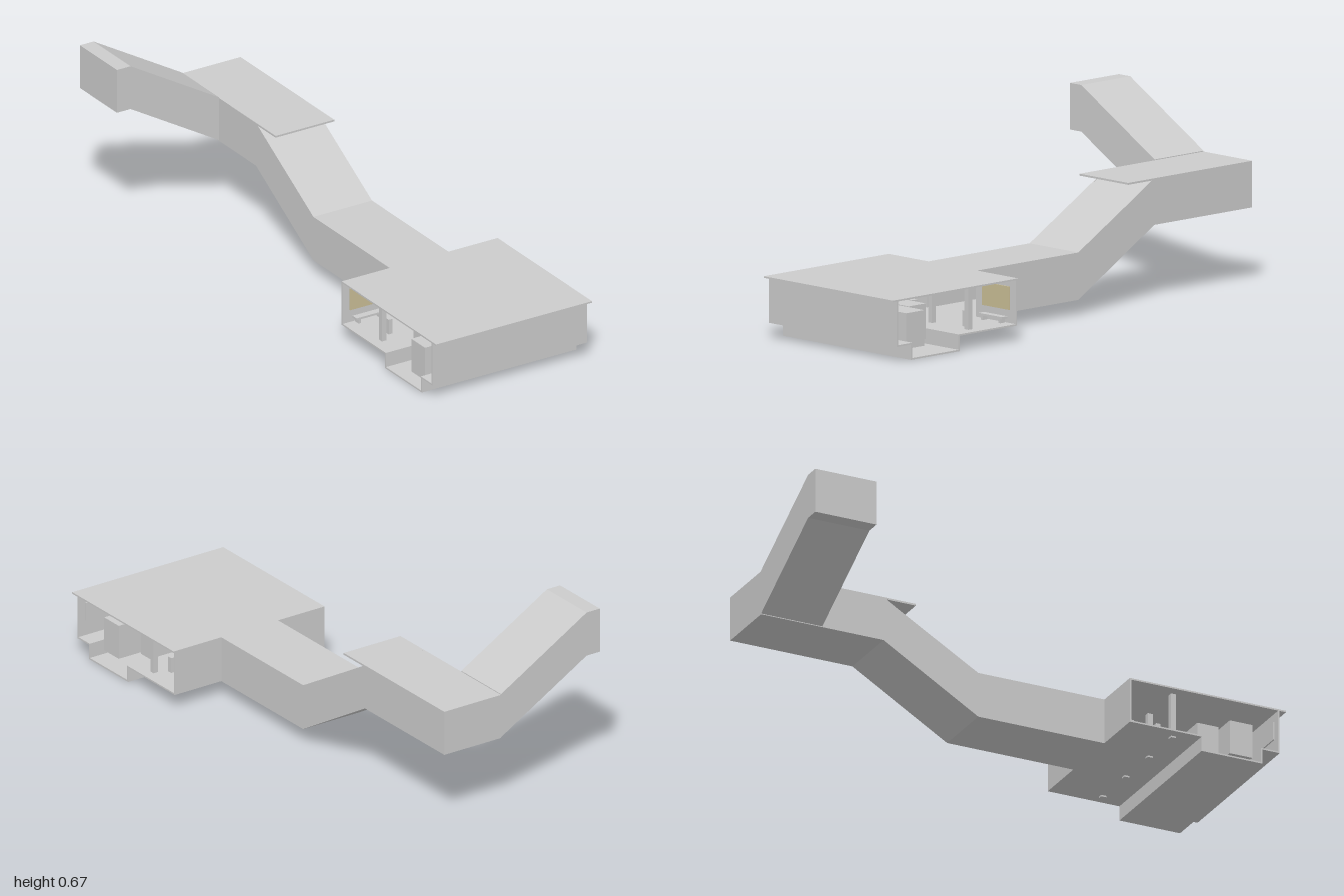
import * as THREE from 'three';

const T = 0.006; // wall and slab thickness

export function createModel() {
  const model = new THREE.Group();
  const grey = new THREE.MeshStandardMaterial({ color: 0xcccccc, flatShading: true, side: THREE.DoubleSide });
  const beige = new THREE.MeshStandardMaterial({ color: 0xc9bd95, flatShading: true });

  const add = (name, geometry, material = grey) => {
    const mesh = new THREE.Mesh(geometry, material);
    mesh.name = name;
    model.add(mesh);
    return mesh;
  };
  // Box given by its lower and upper limits
  const box = (name, [x0, x1], [y0, y1], [z0, z1], material) => {
    const g = new THREE.BoxGeometry(x1 - x0, y1 - y0, z1 - z0);
    g.translate((x0 + x1) / 2, (y0 + y1) / 2, (z0 + z1) / 2);
    return add(name, g, material);
  };
  // Outline in (z, y), extruded along x
  const alongX = (name, points, x0, x1) => {
    const shape = new THREE.Shape(points.map(([z, y]) => new THREE.Vector2(-z, y)));
    const g = new THREE.ExtrudeGeometry(shape, { depth: x1 - x0, bevelEnabled: false });
    g.rotateY(Math.PI / 2);
    g.translate(x0, 0, 0);
    return add(name, g);
  };
  // Outline in (x, y), extruded along z
  const alongZ = (name, points, z0, z1) => {
    const shape = new THREE.Shape(points.map(([x, y]) => new THREE.Vector2(x, y)));
    const g = new THREE.ExtrudeGeometry(shape, { depth: z1 - z0, bevelEnabled: false });
    g.translate(0, 0, z0);
    return add(name, g);
  };
  // Closed outline of the band between a line and the same line raised by h
  const band = (line, h) => [...line, ...line.map(([a, y]) => [a, y + h]).reverse()];

  // Station hall: stepped floor with track trench, open at both ends
  const hall = [-0.22, 0.44];
  alongX('hallFloor', [
    [0.975, 0.056], [0.905, 0.056], [0.905, 0], [0.662, 0], [0.662, 0.056], [0.375, 0.056],
    [0.375, 0.062], [0.668, 0.062], [0.668, 0.006], [0.899, 0.006], [0.899, 0.062], [0.975, 0.062],
  ], ...hall);
  box('hallRoof', [-0.22, 0.445], [0.223, 0.229], [0.375, 1]);
  box('hallFrontWall', hall, [0.056, 0.223], [0.969, 0.975]);

  // Corridor limits, and the back walls either side of its opening
  const cx0 = -0.015, cx1 = 0.235;
  box('hallBackWallRight', [hall[0], cx0], [0.056, 0.223], [0.375, 0.381]);
  box('hallBackWallLeft', [cx1, hall[1]], [0.056, 0.223], [0.375, 0.381]);

  // Pillars along the platform, footed in the floor
  for (let i = 0; i < 4; i++) {
    const x = -0.17 + i * 0.187;
    box('pillar', [x - 0.01, x + 0.01], [0.05, 0.223], [0.56, 0.58]);
  }

  // Two trains on the tracks
  box('frontTrain', [-0.19, 0.39], [0.03, 0.16], [0.79, 0.88]);
  box('backTrain', [-0.12, 0.3], [0.03, 0.16], [0.695, 0.78]);

  // Benches and wall panels at each side of the corridor opening
  for (const x of [-0.12, 0.34]) {
    box('benchSeat', [x - 0.06, x + 0.06], [0.078, 0.086], [0.385, 0.412]);
    for (const s of [-1, 1]) box('benchLeg', [x + s * 0.045 - 0.005, x + s * 0.045 + 0.005], [0.062, 0.078], [0.387, 0.41]);
    box('wallPanel', [x - 0.07, x + 0.07], [0.11, 0.195], [0.381, 0.385], beige);
    box('frontWallPanel', [x - 0.07, x + 0.07], [0.12, 0.19], [0.964, 0.969]);
    box('platformPost', [x - 0.008, x + 0.008], [0.062, 0.12], [0.526, 0.544]);
  }

  // Corridor: level, sloping up, level again
  const floorLine = [[0.375, 0.056], [-0.13, 0.056], [-0.51, 0.28], [-1, 0.28]];
  const H = 0.17;
  alongX('corridorFloor', band(floorLine, T), cx0, cx1);
  alongX('corridorLeftWall', band(floorLine, H), cx1 - T, cx1);
  // The right wall stops where the branch opens
  alongX('corridorRightWall', band([...floorLine.slice(0, 3), [-0.755, 0.28]], H), cx0, cx0 + T);
  alongX('corridorRoof', band([[0.375, 0.223], [-0.13, 0.223], [-0.51, 0.443]], T), cx0, cx1);
  box('upperRoof', [cx0, cx1], [0.443, 0.45], [-1, -0.38]);
  box('corridorBackWall', [cx0, cx1], [0.28, 0.45], [-1, -1 + T]);

  // Branch: climbs to the right and ends in a short level piece
  const branchLine = [[-0.45, 0.504], [-0.392, 0.504], [cx0, 0.283]];
  alongZ('branchFloor', band(branchLine, T), -1, -0.755);
  alongZ('branchRoof', band(branchLine.map(([x, y]) => [x, y + H - T]), T), -1, -0.755);
  alongZ('branchBackWall', band(branchLine, H), -1, -1 + T);
  alongZ('branchFrontWall', band(branchLine, H), -0.755 - T, -0.755);
  box('branchEndWall', [-0.45, -0.45 + T], [0.504, 0.674], [-1, -0.755]);

  return model;
}
